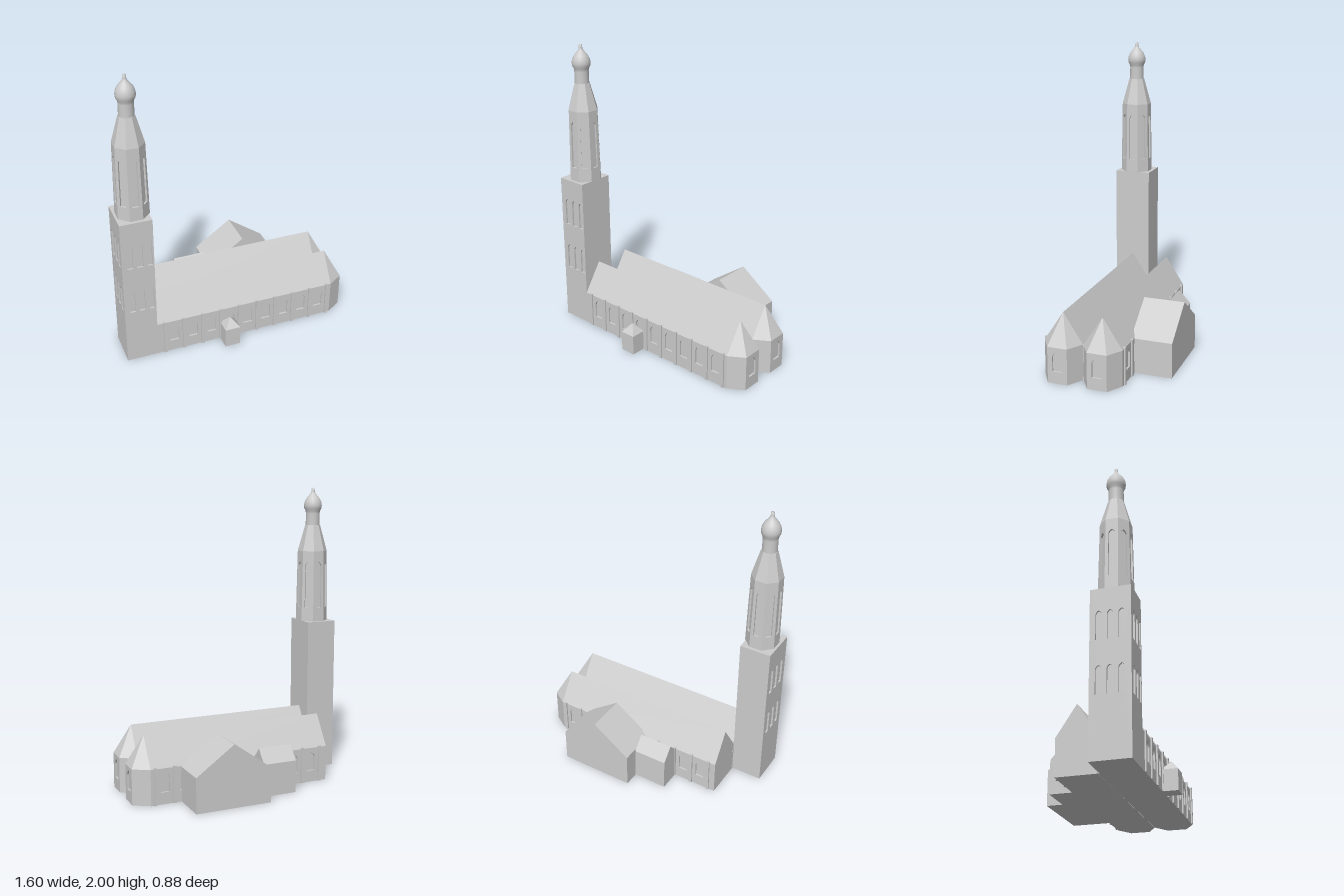
import * as THREE from 'three';

const D = 0.012; // wall thickness, also the window recess
const stone = new THREE.MeshStandardMaterial({ color: 0xcccccc });
stone.name = 'paleStone';
stone.side = THREE.DoubleSide;

function add(parent, geometry, name) {
  const mesh = new THREE.Mesh(geometry, stone);
  mesh.name = name;
  parent.add(mesh);
  return mesh;
}

// flat polygons, each fanned from its first corner (counterclockwise from outside)
function polygons(list) {
  const pos = [];
  for (const p of list)
    for (let i = 1; i < p.length - 1; i++) pos.push(...p[0], ...p[i], ...p[i + 1]);
  const g = new THREE.BufferGeometry();
  g.setAttribute('position', new THREE.Float32BufferAttribute(pos, 3));
  g.computeVertexNormals();
  return g;
}

const polyShape = (pts) => new THREE.Shape(pts.map(([x, y]) => new THREE.Vector2(x, y)));

// pointed-arch outline
function arch(path, { x, w, y0, y1 }) {
  const h = w / 2, spring = y1 - w * 0.6;
  path.moveTo(x - h, y0);
  path.lineTo(x + h, y0);
  path.lineTo(x + h, spring);
  path.quadraticCurveTo(x + h * 0.75, y1 - w * 0.2, x, y1);
  path.quadraticCurveTo(x - h * 0.75, y1 - w * 0.2, x - h, spring);
  path.closePath();
  return path;
}

// wall panel with recessed windows; outer face at local z = 0
function panel(parent, pts, windows, name) {
  const group = new THREE.Group();
  group.name = name;
  const shape = polyShape(pts);
  for (const w of windows) {
    shape.holes.push(arch(new THREE.Path(), w));
    add(group, new THREE.ShapeGeometry(arch(new THREE.Shape(), w), 4), 'windowPane').position.z = -D;
  }
  const g = new THREE.ExtrudeGeometry(shape, { depth: D, bevelEnabled: false, curveSegments: 4 });
  add(group, g.translate(0, 0, -D), 'wallFace');
  parent.add(group);
  return group;
}

// upright wall between two plan points, outside on the right of the direction of travel
function wall(parent, [ax, az], [bx, bz], h, windows, name) {
  const w = Math.hypot(bx - ax, bz - az);
  const g = panel(parent, [[0, 0], [w, 0], [w, h], [0, h]], windows, name);
  g.position.set(ax, 0, az);
  g.rotation.y = Math.atan2(az - bz, bx - ax);
}

function buildTower(root) {
  const tower = new THREE.Group();
  tower.name = 'tower';
  root.add(tower);
  const x0 = -0.8, x1 = -0.587, z0 = 0.085, z1 = 0.338, H = 1.065;
  const rows = (xs) => xs.flatMap((x) => [[0.39, 0.57], [0.73, 0.92]].map(([y0, y1]) => ({ x, w: 0.038, y0, y1 })));
  wall(tower, [x0, z1], [x1, z1], H, rows([0.055, 0.121, 0.188]), 'towerFront');
  wall(tower, [x1, z1], [x1, z0], H, [], 'towerInnerSide');
  wall(tower, [x1, z0], [x0, z0], H, [], 'towerBack');
  wall(tower, [x0, z0], [x0, z1], H, rows([0.055, 0.125, 0.195]), 'towerOuterSide');
  const slab = (y) => [[x0, y, z1], [x1, y, z1], [x1, y, z0], [x0, y, z0]];
  add(tower, polygons([slab(H), slab(0).reverse()]), 'towerCaps');

  // octagonal belfry with tapering faces
  const top = new THREE.Group();
  top.name = 'belfry';
  top.position.set(-0.681, 0, 0.212);
  tower.add(top);
  const a0 = 0.103, a1 = 0.095, h = 0.495, t = Math.tan(Math.PI / 8);
  for (let k = 0; k < 8; k++) {
    const p = panel(top, [[-a0 * t, 0], [a0 * t, 0], [a1 * t, h], [-a1 * t, h]],
      [{ x: 0, w: 0.042, y0: 0.095, y1: 0.42 }], 'belfryFace');
    const a = (k * Math.PI) / 4;
    p.rotation.set(-Math.atan((a0 - a1) / h), a, 0, 'YXZ');
    p.position.set(Math.sin(a) * a0, H, Math.cos(a) * a0);
  }
  // eight-sided spire
  const c = Math.cos(Math.PI / 8);
  const spire = new THREE.CylinderGeometry(0.049 / c, a1 / c, 0.18, 8).toNonIndexed();
  spire.rotateY(Math.PI / 8).computeVertexNormals();
  add(top, spire, 'spire').position.y = 1.65;
  // lantern, onion dome and finial
  const profile = [[0.049, 1.73], [0.048, 1.82], [0.051, 1.838], [0.06, 1.855], [0.063, 1.875], [0.059, 1.9],
    [0.047, 1.925], [0.03, 1.945], [0.016, 1.962], [0.012, 1.975], [0.011, 1.995], [0, 2]];
  add(top, new THREE.LatheGeometry(profile.map(([r, y]) => new THREE.Vector2(r, y)), 24), 'onionDome');
}

// hall with a three-sided apse; side = +1 puts the windowed wall at the front, -1 at the back
function buildNave(root, zc, side, name) {
  const nave = new THREE.Group();
  nave.name = name;
  root.add(nave);
  const x0 = -0.587, x1 = 0.69, x2 = 0.795, hw = 0.131, e = 0.066, eave = 0.24, ridge = 0.44;
  const f = zc + hw, b = zc - hw, fe = zc + e, be = zc - e;

  // bays: a window between each pair of buttresses
  const bay = 0.1327, first = -0.535;
  const windows = [];
  for (let i = 0; i < 10; i++) {
    const x = first + i * bay;
    const buttress = add(nave, new THREE.BoxGeometry(0.02, 0.25, 0.02), 'buttress');
    buttress.position.set(x, 0.125, zc + side * hw);
    if (i < 9) {
      const wx = x + bay / 2;
      windows.push({ x: side > 0 ? wx - x0 : x1 - wx, w: 0.062, y0: 0.08, y1: 0.215 });
    }
  }
  if (side > 0) wall(nave, [x0, f], [x1, f], eave, windows, 'sideWall');
  else wall(nave, [x1, b], [x0, b], eave, windows, 'sideWall');

  // apse
  wall(nave, [x1, f], [x2, fe], eave, [], 'apseFrontWall');
  wall(nave, [x2, fe], [x2, be], eave, [{ x: e, w: 0.066, y0: 0.08, y1: 0.215 }], 'apseEndWall');
  wall(nave, [x2, be], [x1, b], eave, [], 'apseBackWall');

  // roof, west gable and floor
  const r0 = [x0, ridge, zc], r1 = [x1, ridge, zc];
  add(nave, polygons([
    [[x0, eave, f], [x1, eave, f], r1, r0],
    [[x1, eave, b], [x0, eave, b], r0, r1],
    [[x1, eave, f], [x2, eave, fe], r1],
    [[x2, eave, fe], [x2, eave, be], r1],
    [[x2, eave, be], [x1, eave, b], r1],
  ]), 'roof');
  add(nave, polygons([[[x0, 0, b], [x0, 0, f], [x0, eave, f], r0, [x0, eave, b]]]), 'gable');
  add(nave, polygons([[[x0, 0, f], [x0, 0, b], [x1, 0, b], [x2, 0, be], [x2, 0, fe], [x1, 0, f]]]), 'floor');
}

// gabled block extruded along its ridge
function gabled(left, right, eave, ridge, depth) {
  const s = polyShape([[left, 0], [right, 0], [right, eave], [(left + right) / 2, ridge], [left, eave]]);
  return new THREE.ExtrudeGeometry(s, { depth, bevelEnabled: false });
}

export function createModel() {
  const root = new THREE.Group();
  root.name = 'church';
  buildTower(root);
  buildNave(root, 0.207, 1, 'frontNave');
  buildNave(root, -0.057, -1, 'backNave');

  // back wing with its ridge running front to back
  add(root, gabled(-0.04, 0.48, 0.235, 0.42, 0.275), 'backWing').position.z = -0.44;
  // small annex with its ridge running sideways
  const annex = add(root, gabled(0.175, 0.335, 0.22, 0.31, 0.235), 'annex');
  annex.rotation.y = Math.PI / 2;
  annex.position.x = -0.275;

  // front porch with a pyramid roof
  const porch = new THREE.Group();
  porch.name = 'porch';
  porch.position.set(-0.088, 0, 0.385);
  root.add(porch);
  add(porch, new THREE.BoxGeometry(0.106, 0.137, 0.104), 'porchWalls').position.y = 0.0685;
  const q = [[-0.053, 0.137, 0.052], [0.053, 0.137, 0.052], [0.053, 0.137, -0.052], [-0.053, 0.137, -0.052]];
  add(porch, polygons(q.map((p, i) => [p, q[(i + 1) % 4], [0, 0.202, 0]])), 'porchRoof');
  return root;
}
